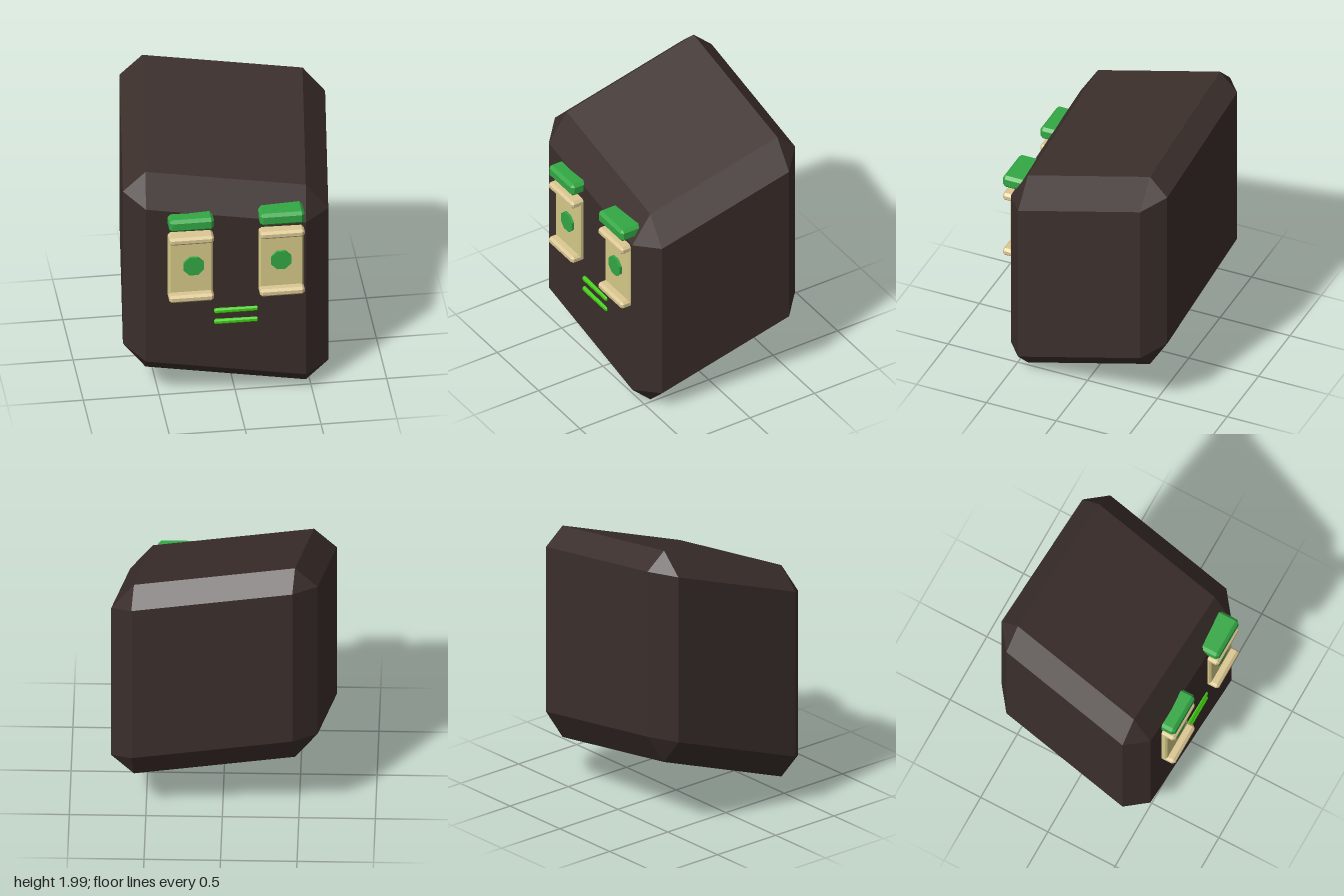
import * as THREE from 'three';
import { ConvexGeometry } from 'three/addons/geometries/ConvexGeometry.js';

// Box with flat chamfers on every edge: each face is inset by the bevel
function chamferBox(w, h, d, b) {
  const pts = [];
  for (const x of [-1, 1]) for (const y of [-1, 1]) for (const z of [-1, 1]) {
    const X = w / 2, Y = h / 2, Z = d / 2;
    pts.push(
      new THREE.Vector3(x * X, y * (Y - b), z * (Z - b)),
      new THREE.Vector3(x * (X - b), y * Y, z * (Z - b)),
      new THREE.Vector3(x * (X - b), y * (Y - b), z * Z));
  }
  return new ConvexGeometry(pts);
}

const paint = (color) => new THREE.MeshStandardMaterial({ color, flatShading: true });

export function createModel() {
  const model = new THREE.Group();
  model.name = 'blockHead';
  const dark = paint(0x3a2e2b), cream = paint(0xd6ca88), tan = paint(0xdbc793);
  const green = paint(0x33a844), lime = paint(0x42cc12);

  const add = (name, geometry, material, x = 0, y = 0, z = 0, parent = model) => {
    const mesh = new THREE.Mesh(geometry, material);
    mesh.name = name;
    mesh.position.set(x, y, z);
    parent.add(mesh);
    return mesh;
  };

  // Skewed chamfered block: the unit box is sheared along three slanted axes
  const skew = new THREE.Matrix4().makeBasis(
    new THREE.Vector3(0.675, -0.108, 0.018),
    new THREE.Vector3(0, 0.75, 0),
    new THREE.Vector3(-0.066, -0.207, 0.59)).setPosition(0, 1.003, -0.036);
  add('head', chamferBox(2, 2, 2, 0.22).applyMatrix4(skew), dark);

  // Eyes and brows
  for (const side of [-1, 1]) {
    const eye = new THREE.Group();
    eye.name = side > 0 ? 'leftEye' : 'rightEye';
    eye.position.x = side > 0 ? 0.296 : -0.302;
    model.add(eye);
    add('eyePlate', chamferBox(0.295, 0.47, 0.1, 0.012), cream, 0, 1.03, 0.534, eye);
    add('upperLid', chamferBox(0.295, 0.055, 0.14, 0.016), tan, 0, 1.255, 0.57, eye);
    add('lowerLid', chamferBox(0.295, 0.055, 0.14, 0.016), tan, 0, 0.813, 0.57, eye);
    add('brow', chamferBox(0.295, 0.09, 0.2, 0.02), green, 0, 1.375, 0.54, eye);
    const pupil = new THREE.CylinderGeometry(0.072, 0.072, 0.06, 8)
      .rotateY(Math.PI / 8).rotateX(Math.PI / 2);
    add('pupil', pupil, green, side > 0 ? -0.004 : 0.017, 1.04, 0.572, eye);
  }

  // Mouth bars
  for (const y of [0.66, 0.577]) {
    add('mouthBar', chamferBox(0.29, 0.036, 0.05, 0.01), lime, 0, y, 0.547);
  }
  return model;
}
